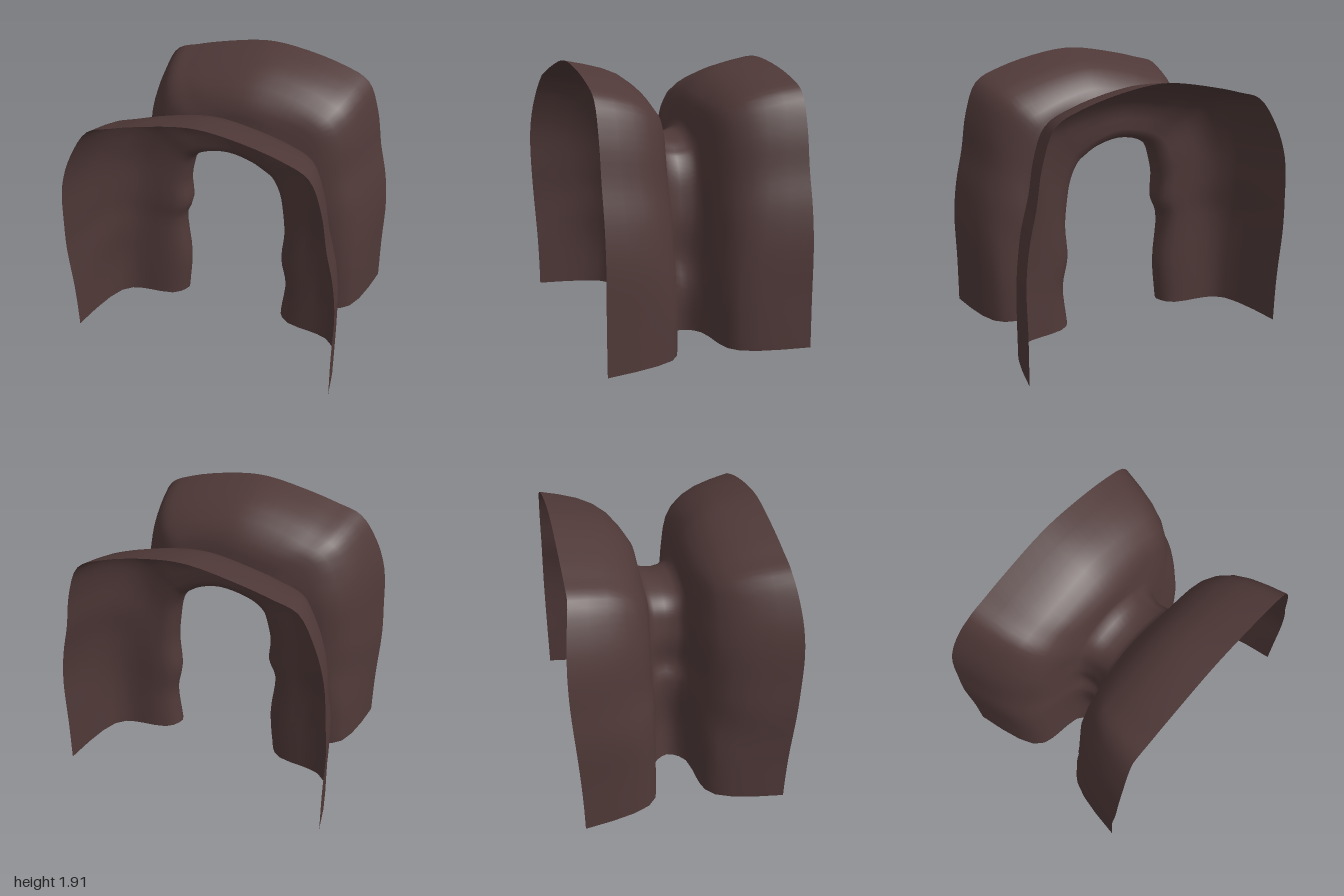
import * as THREE from 'three';

// Matching points along the narrow throat and the wide rim, foot to foot
const THROAT = [[-0.39, 0.02], [-0.36, 0.35], [-0.39, 0.73], [-0.34, 0.87], [-0.35, 1.05], [-0.33, 1.17], [-0.3, 1.27],
  [-0.25, 1.33], [-0.17, 1.37], [0, 1.4], [0.17, 1.36], [0.25, 1.31], [0.3, 1.27], [0.36, 1.15], [0.39, 0.97], [0.4, 0.8],
  [0.38, 0.55], [0.42, 0.33], [0.39, 0.02]];
const RIM = [[-0.99, 0.02], [-0.99, 0.38], [-1, 0.75], [-0.985, 1.0], [-0.955, 1.32], [-0.875, 1.56], [-0.75, 1.75],
  [-0.58, 1.81], [-0.4, 1.86], [-0.03, 1.93], [0.22, 1.915], [0.58, 1.83], [0.76, 1.74], [0.85, 1.52], [0.9, 1.24], [0.955, 1.0],
  [0.985, 0.75], [0.985, 0.36], [0.99, 0.02]];

// Flare profile: share of the way from throat to rim, depth at the feet, depth at the crown
const FLARE = [[0, 0, 0], [0.025, 0.045, 0.08], [0.07, 0.085, 0.125], [0.16, 0.125, 0.14], [0.32, 0.145, 0.155],
  [0.46, 0.153, 0.175], [0.58, 0.163, 0.21], [0.7, 0.185, 0.265], [0.81, 0.245, 0.35], [0.89, 0.36, 0.455],
  [0.95, 0.52, 0.58], [1, 0.72, 0.715]];

const curve = (pts) => new THREE.CatmullRomCurve3(pts.map(([x, y]) => new THREE.Vector3(x, y, 0)), false, 'centripetal');

// Sheet of cross-sections running from the back rim through the throat to the front rim
function passageGeometry() {
  const throat = curve(THROAT), rim = curve(RIM);
  const rows = [...FLARE.slice(1).reverse().map((row) => [-1, ...row]), ...FLARE.map((row) => [1, ...row])];
  const steps = 72, positions = [], index = [];
  rows.forEach(([side, f, footZ, crownZ]) => {
    for (let i = 0; i <= steps; i++) {
      const t = i / steps;
      const p = throat.getPoint(t).lerp(rim.getPoint(t), f);
      let z = THREE.MathUtils.lerp(footZ, crownZ, THREE.MathUtils.smoothstep(p.y, 0.3, 1.35));
      // Soft rocky lumps, fading out at throat, rim and feet
      const lump = 4 * f * (1 - f) * Math.sin(Math.PI * t);
      const wave = Math.sin(t * 31 + f * 5 + side) + Math.sin(t * 17 - f * 9);
      z += 0.008 * lump * wave;
      // Right-hand rim bulges outward along z above mid height
      if (p.x < -0.7) z += 0.055 * f ** 6 * Math.sin(Math.PI * Math.min(1, (p.y / 1.75) ** 2));
      // Dent pressed into the outer side of the front right leg
      if (side > 0) p.x += 0.07 * f * (1 - f ** 8) * Math.exp(-(((p.x + 0.85) / 0.12) ** 2) - ((p.y - 0.65) / 0.2) ** 2);
      positions.push(p.x, p.y + 0.006 * lump * wave, side * z);
    }
  });
  const w = steps + 1;
  for (let r = 0; r < rows.length - 1; r++) {
    for (let i = 0; i < steps; i++) {
      const a = r * w + i, b = a + 1, c = a + w, d = c + 1;
      index.push(a, b, c, b, d, c);
    }
  }
  const g = new THREE.BufferGeometry();
  g.setAttribute('position', new THREE.Float32BufferAttribute(positions, 3));
  g.setIndex(index);
  g.computeVertexNormals();
  return g;
}

export function createModel() {
  const group = new THREE.Group();
  group.name = 'caveArch';
  const rock = new THREE.MeshStandardMaterial({ color: 0x4f3938, side: THREE.DoubleSide });
  rock.name = 'dark brown rock';
  const arch = new THREE.Mesh(passageGeometry(), rock);
  arch.name = 'rockPassage';
  group.add(arch);
  return group;
}
